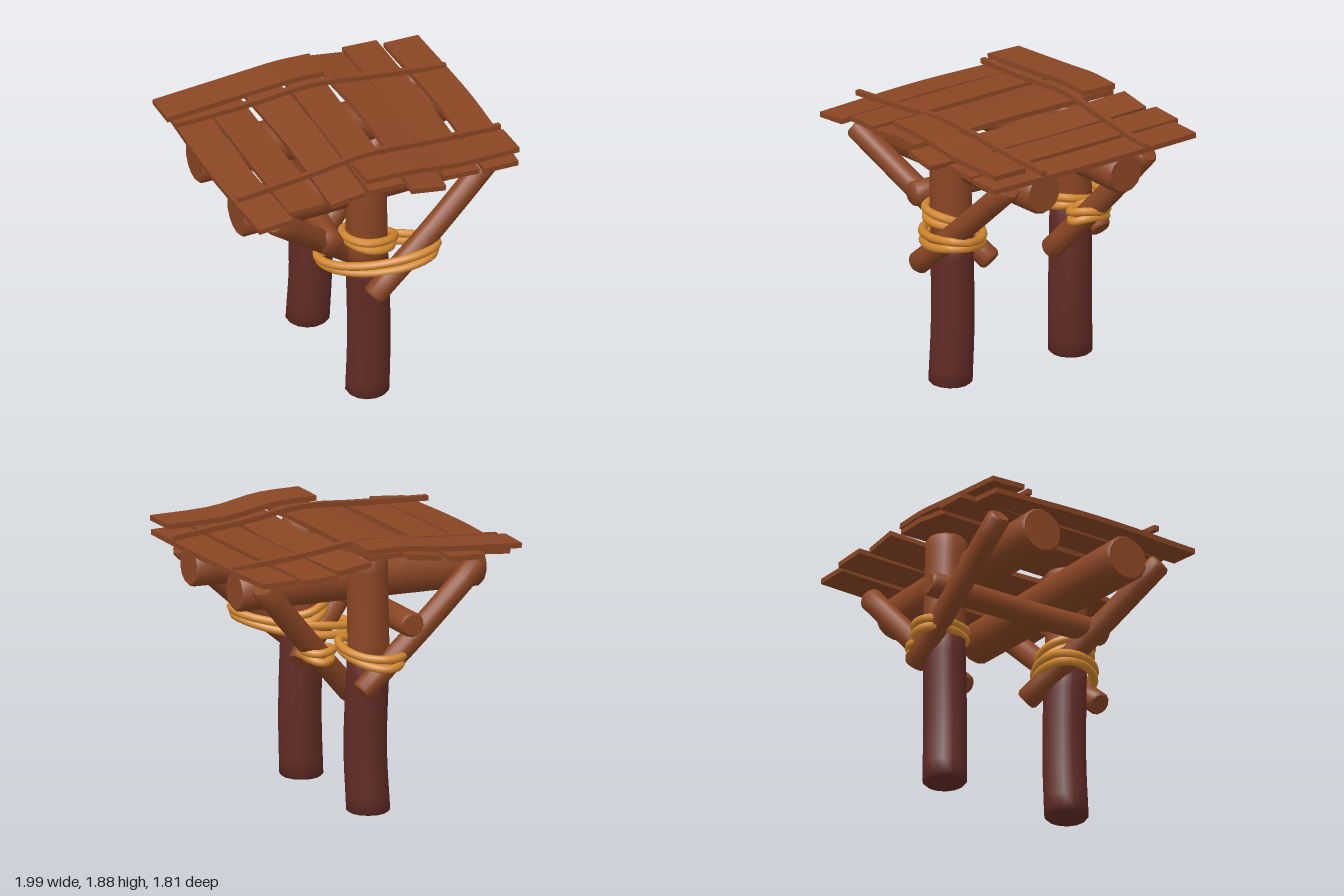
import * as THREE from 'three';
import { toCreasedNormals } from 'three/addons/utils/BufferGeometryUtils.js';

const V = (p) => new THREE.Vector3(...p);

export function createModel() {
  const model = new THREE.Group();
  const mat = (name, color) => {
    const m = new THREE.MeshStandardMaterial({ color });
    m.name = name;
    return m;
  };
  const wood = mat('brown wood', 0x8a4624);
  const bark = mat('dark stained wood', 0x622b25);
  const hemp = mat('golden rope', 0xd3882f);

  const add = (name, geo, material) => {
    const mesh = new THREE.Mesh(geo, material);
    mesh.name = name;
    model.add(mesh);
  };

  // Bends a geometry that stands along y (-0.5..0.5) so it follows a path
  const bend = (geo, pts) => {
    const curve = new THREE.CatmullRomCurve3(pts.map(V));
    const dir = V(pts[pts.length - 1]).sub(V(pts[0])).normalize();
    const ref = Math.abs(dir.y) > 0.9 ? V([0, 0, 1]) : V([0, 1, 0]);
    const side = new THREE.Vector3().crossVectors(dir, ref).normalize();
    const up = new THREE.Vector3().crossVectors(side, dir);
    const pos = geo.attributes.position;
    for (let i = 0; i < pos.count; i++) {
      const p = curve.getPoint(THREE.MathUtils.clamp(pos.getY(i) + 0.5, 0, 1));
      p.addScaledVector(side, pos.getX(i)).addScaledVector(up, pos.getZ(i));
      pos.setXYZ(i, p.x, p.y, p.z);
    }
    return toCreasedNormals(geo, 0.9);
  };

  // Round log with slightly bevelled ends
  const pole = (name, pts, r0, r1 = r0, material = wood) => {
    const e = 0.02 / V(pts[0]).distanceTo(V(pts[pts.length - 1]));
    const profile = [new THREE.Vector2(0, -0.5), new THREE.Vector2(r0 - 0.015, -0.5)];
    for (let i = 0; i <= 8; i++) {
      const t = i / 8;
      profile.push(new THREE.Vector2(r0 + (r1 - r0) * t, (t - 0.5) * (1 - 2 * e)));
    }
    profile.push(new THREE.Vector2(r1 - 0.015, 0.5), new THREE.Vector2(0, 0.5));
    add(name, bend(new THREE.LatheGeometry(profile, 14), pts), material);
  };

  // Flat board, optionally rolled about its length
  const board = (name, pts, width, thick, roll = 0) =>
    add(name, bend(new THREE.BoxGeometry(width, 1, thick, 1, 10, 1).rotateY(roll), pts), wood);

  // Posts: stained lower part and plain upper part
  pole('frontPostLower', [[0, 0, 0.465], [0.015, 0.45, 0.457], [0, 1.08, 0.455]], 0.15, 0.145, bark);
  pole('frontPostUpper', [[0, 1.04, 0.455], [-0.005, 1.4, 0.46], [-0.005, 1.78, 0.455]], 0.143, 0.14);
  pole('backPostLower', [[0, 0, -0.515], [0.015, 0.45, -0.5], [0, 1.1, -0.52]], 0.15, 0.145, bark);
  pole('backPostUpper', [[0, 1.06, -0.52], [0, 1.4, -0.51], [0, 1.78, -0.5]], 0.143, 0.14);

  // Main beams under the deck
  pole('frontBeam', [[-0.9, 1.53, 0.345], [0, 1.56, 0.345], [0.9, 1.585, 0.345]], 0.16, 0.14);
  pole('backBeam', [[-0.9, 1.555, -0.34], [0, 1.57, -0.335], [0.9, 1.58, -0.325]], 0.158, 0.14);

  // Pole tying the two posts together
  pole('crossPole', [[-0.3, 1.26, 0.57], [-0.25, 1.28, 0], [-0.2, 1.32, -0.78]], 0.085);

  // Diagonal braces
  pole('frontLeftBrace', [[-0.06, 0.87, 0.69], [0.4, 1.26, 0.64], [0.84, 1.66, 0.58]], 0.08);
  pole('frontRightBrace', [[0.14, 0.85, 0.23], [-0.32, 1.24, 0.47], [-0.78, 1.63, 0.69]], 0.08);
  pole('backLeftBrace', [[0.03, 0.77, -0.33], [0.42, 1.2, -0.45], [0.82, 1.66, -0.56]], 0.08);
  pole('backRightBrace', [[0.13, 0.87, -0.67], [-0.33, 1.25, -0.64], [-0.78, 1.64, -0.6]], 0.08);

  // Rope lashings: pairs of slanted oval loops, skewed towards +x +z
  const lashing = (name, [cx, cy, cz], rx, rz, slopeX, slopeZ, skew) => {
    for (let k = 0; k < 2; k++) {
      const pts = [];
      for (let i = 0; i < 12; i++) {
        const a = (i / 12) * Math.PI * 2;
        const x = Math.cos(a) * (rx - k * 0.02);
        const z = rz * (skew * Math.cos(a) + Math.sqrt(1 - skew * skew) * Math.sin(a));
        const wave = 0.012 * Math.sin(2 * a + k);
        pts.push(V([cx + x, cy - k * 0.055 + x * slopeX + z * slopeZ + wave, cz + z]));
      }
      const path = new THREE.CatmullRomCurve3(pts, true);
      add(name, new THREE.TubeGeometry(path, 40, 0.029, 8, true), hemp);
    }
  };
  lashing('frontBraceRope', [0.06, 1.1, 0.49], 0.37, 0.26, 0.13, 0.06, 0.55);
  lashing('frontPostRope', [0.01, 1.21, 0.46], 0.175, 0.18, -0.2, 0.2, 0);
  lashing('backPostRope', [0, 1.12, -0.55], 0.18, 0.215, 0.1, 0.1, 0.35);
  lashing('backBraceRope', [0.34, 1.14, -0.42], 0.11, 0.13, 0.1, 0, 0);

  // Deck planks: x at back, middle, front; back and front z; height; sideways roll
  const planks = [
    [-0.82, -0.855, -0.83, -0.74, 0.85, 1.72, 0.1],
    [-0.57, -0.575, -0.575, -0.86, 0.77, 1.74, 0.03],
    [-0.285, -0.265, -0.285, -0.8, 0.8, 1.76, 0.15],
    [0.0, -0.02, -0.02, -0.78, 0.83, 1.8, 0],
    [0.27, 0.31, 0.255, -0.85, 0.9, 1.765, -0.13],
    [0.55, 0.56, 0.55, -0.91, 0.78, 1.74, -0.03],
    [0.83, 0.86, 0.83, -0.86, 0.79, 1.735, 0],
  ];
  for (const [xb, xm, xf, zb, zf, y, roll] of planks) {
    const zm = (zb + zf) / 2;
    board('deckPlank', [[xf, y - 0.02, zf], [xm, y + 0.005, zm], [xb, y + 0.02, zb]], 0.25, 0.036, -roll);
  }

  // Boards laid across the deck edges
  board('backEdgeBoard', [[-1, 1.775, -0.68], [-0.43, 1.825, -0.68], [-0.12, 1.862, -0.665], [0.13, 1.862, -0.66]], 0.25, 0.036);
  board('frontEdgeBoard', [[-0.16, 1.862, 0.69], [0.15, 1.86, 0.69], [0.5, 1.815, 0.67], [0.96, 1.815, 0.66]], 0.255, 0.036);

  // Thin battens holding the planks down
  board('backBatten', [[-0.97, 1.77, -0.49], [-0.45, 1.81, -0.47], [0, 1.855, -0.465], [0.45, 1.81, -0.46], [0.97, 1.77, -0.44]], 0.036, 0.036);
  board('frontBatten', [[-0.97, 1.77, 0.53], [-0.45, 1.81, 0.5], [0, 1.85, 0.47], [0.45, 1.81, 0.44], [0.99, 1.775, 0.405]], 0.036, 0.036);

  return model;
}
